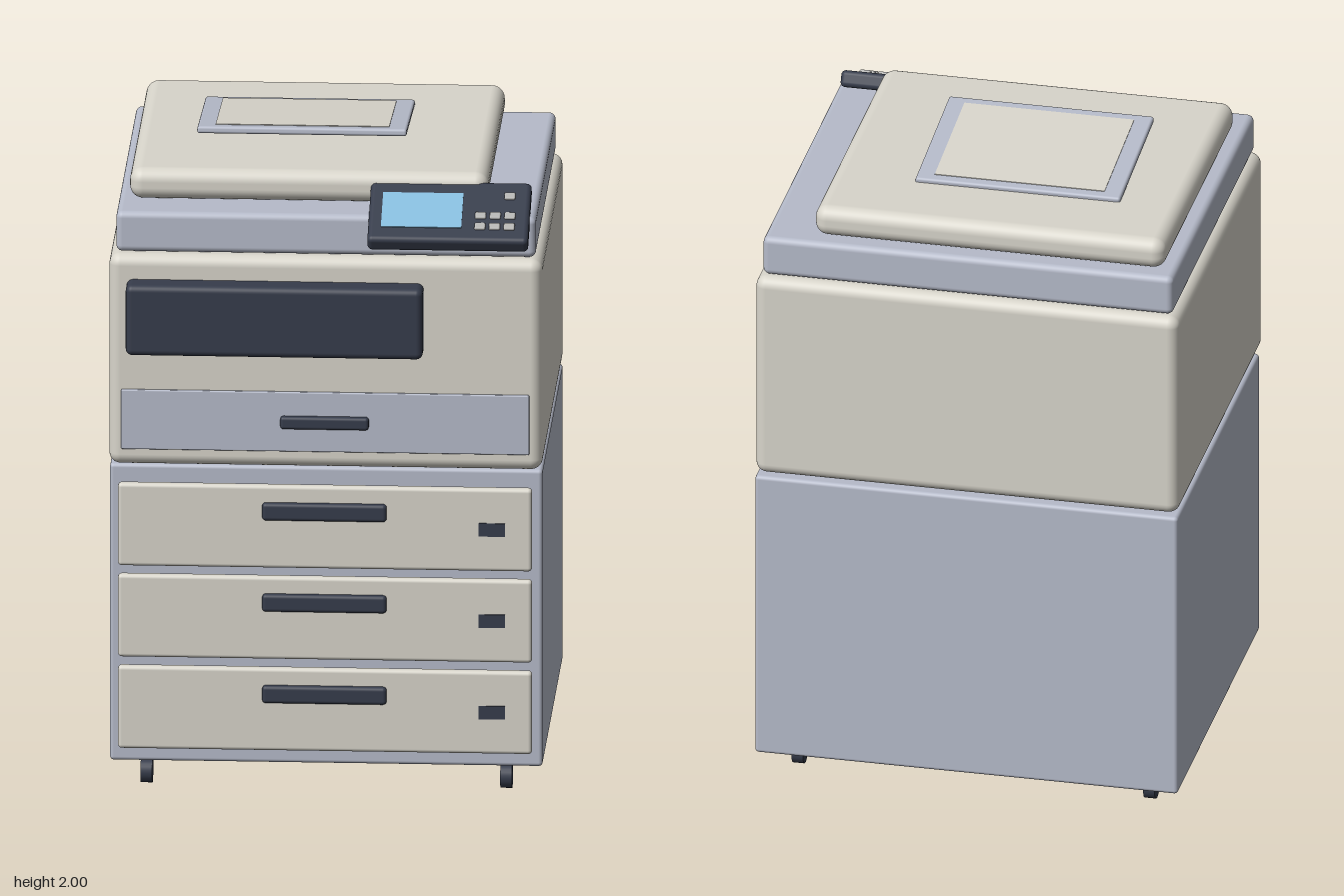
import * as THREE from 'three';
import { RoundedBoxGeometry } from 'three/addons/geometries/RoundedBoxGeometry.js';

const mat = (name, color) => {
  const m = new THREE.MeshStandardMaterial({ color });
  m.name = name;
  return m;
};

export function createModel() {
  const ivory = mat('ivory plastic', 0xd8d5cb);
  const blueGrey = mat('blue grey plastic', 0xb6bbca);
  const dark = mat('dark slate', 0x363c4b);
  const screenBlue = mat('screen blue', 0x86bcdc);
  const buttonGrey = mat('button grey', 0xb4b4b2);

  const root = new THREE.Group();
  root.name = 'officeCopier';

  // Rounded box given by its limits on each axis
  const box = (parent, name, material, [x0, x1], [y0, y1], [z0, z1], r = 0) => {
    const size = [x1 - x0, y1 - y0, z1 - z0];
    const g = r ? new RoundedBoxGeometry(...size, 4, r) : new THREE.BoxGeometry(...size);
    const m = new THREE.Mesh(g, material);
    m.position.set((x0 + x1) / 2, (y0 + y1) / 2, (z0 + z1) / 2);
    m.name = name;
    parent.add(m);
    return m;
  };

  // Main housings, bottom to top
  box(root, 'cabinet', blueGrey, [-0.667, 0.663], [0.083, 1.033], [-0.64, 0.52], 0.012);
  box(root, 'printerBody', ivory, [-0.668, 0.664], [1.04, 1.713], [-0.64, 0.56], 0.035);
  box(root, 'scannerBase', blueGrey, [-0.647, 0.643], [1.717, 1.845], [-0.62, 0.54], 0.02);
  box(root, 'scannerLid', ivory, [-0.612, 0.49], [1.847, 1.945], [-0.585, 0.42], 0.04);

  // Output slot and bypass tray on the body front
  box(root, 'outputSlot', dark, [-0.613, 0.3], [1.412, 1.637], [0.5, 0.637], 0.02);
  box(root, 'bypassTray', blueGrey, [-0.63, 0.625], [1.095, 1.285], [0.54, 0.57], 0.004);
  box(root, 'bypassHandle', dark, [-0.14, 0.132], [1.17, 1.21], [0.56, 0.588], 0.01);

  // Three paper drawers with handle and label
  [0.135, 0.428, 0.72].forEach((y, i) => {
    const drawer = new THREE.Group();
    drawer.name = `drawer${i + 1}`;
    root.add(drawer);
    box(drawer, 'drawerFront', ivory, [-0.64, 0.633], [y, y + 0.264], [0.535, 0.568], 0.012);
    box(drawer, 'drawerHandle', dark, [-0.196, 0.187], [y + 0.156, y + 0.212], [0.56, 0.587], 0.012);
    box(drawer, 'drawerLabel', dark, [0.47, 0.55], [y + 0.113, y + 0.155], [0.564, 0.572]);
  });

  // Casters
  const wheel = new THREE.CylinderGeometry(0.038, 0.038, 0.036, 24).rotateZ(Math.PI / 2);
  for (const x of [-0.556, 0.55]) for (const z of [0.466, -0.508]) {
    const caster = new THREE.Group();
    caster.name = 'caster';
    const w = new THREE.Mesh(wheel, dark);
    w.name = 'casterWheel';
    w.position.set(x, 0.038, z);
    caster.add(w);
    box(caster, 'casterStem', dark, [x - 0.012, x + 0.012], [0.05, 0.09], [z - 0.012, z + 0.012]);
    root.add(caster);
  }

  // Control panel, tipped towards the front
  const panel = new THREE.Group();
  panel.name = 'controlPanel';
  panel.position.set(0.377, 1.838, 0.509);
  panel.rotation.x = THREE.MathUtils.degToRad(27.5);
  root.add(panel);
  box(panel, 'panelBody', dark, [-0.247, 0.247], [-0.026, 0.026], [-0.132, 0.132], 0.015);
  box(panel, 'screen', screenBlue, [-0.207, 0.04], [0.022, 0.029], [-0.074, 0.078]);
  const key = (x, z) =>
    box(panel, 'button', buttonGrey, [x - 0.017, x + 0.017], [0.02, 0.033], [z - 0.014, z + 0.014], 0.005);
  for (const x of [0.097, 0.142, 0.187]) for (const z of [0.022, 0.07]) key(x, z);
  key(0.183, -0.065);

  // Document tray, hinged at the back of the lid
  const tray = new THREE.Group();
  tray.name = 'documentTray';
  tray.position.set(-0.097, 1.972, -0.098);
  tray.rotation.x = THREE.MathUtils.degToRad(-5.5);
  root.add(tray);
  box(tray, 'trayFrame', blueGrey, [-0.322, 0.322], [-0.012, 0.01], [-0.243, 0.243], 0.008);
  box(tray, 'trayPanel', ivory, [-0.267, 0.267], [0.006, 0.012], [-0.212, 0.208]);

  return root;
}
